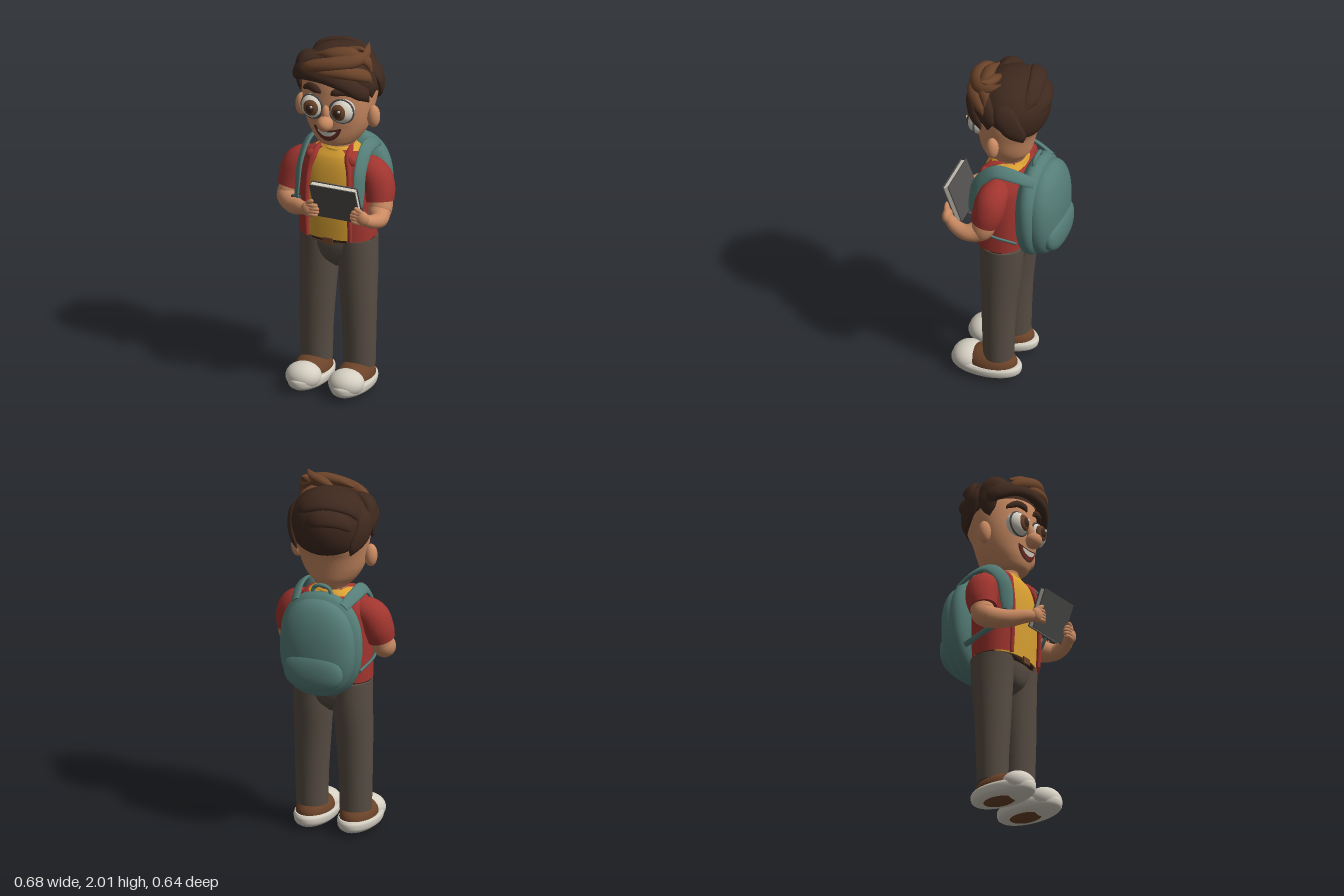
import * as THREE from 'three';
import { ParametricGeometry } from 'three/addons/geometries/ParametricGeometry.js';

const V3 = THREE.Vector3;

function material(name, color, double) {
  const m = new THREE.MeshStandardMaterial({ color });
  m.name = name;
  if (double) m.side = THREE.DoubleSide;
  return m;
}

// Smooth body through cross-sections [x, y, z, radius outward, radius sideways];
// "outward" points away from the given centre.
const FRONT = new V3(0, 1, -60);
function sweep(sections, { centre = FRONT, seg = 28, steps = 32, pow = 1, a0 = 0, a1 = Math.PI * 2, caps = true } = {}) {
  const path = new THREE.CatmullRomCurve3(sections.map(s => new V3(s[0], s[1], s[2])), false, 'catmullrom', 0.5);
  const size = new THREE.CatmullRomCurve3(sections.map(s => new V3(s[3], s[4] ?? s[3], 0)), false, 'catmullrom', 0.5);
  const wrap = a1 - a0 > 6.28, cols = wrap ? seg : seg + 1;
  const pos = [], index = [];
  const curve = v => Math.sign(v) * Math.abs(v) ** pow;
  for (let i = 0; i <= steps; i++) {
    const p = path.getPoint(i / steps), r = size.getPoint(i / steps), t = path.getTangent(i / steps);
    const u = p.clone().sub(centre);
    u.addScaledVector(t, -u.dot(t)).normalize();
    const v = t.clone().cross(u);
    for (let j = 0; j < cols; j++) {
      const a = a0 + (a1 - a0) * j / seg;
      const q = p.clone().addScaledVector(u, Math.max(r.x, 0.0005) * curve(Math.cos(a)))
        .addScaledVector(v, Math.max(r.y, 0.0005) * curve(Math.sin(a)));
      pos.push(q.x, q.y, q.z);
    }
  }
  for (let i = 0; i < steps; i++) for (let j = 0; j < seg; j++) {
    const k = (j + 1) % cols, a = i * cols + j, b = i * cols + k;
    index.push(a, b, a + cols, b, b + cols, a + cols);
  }
  if (caps && wrap) for (const end of [0, steps]) {
    const base = pos.length / 3, p = path.getPoint(end / steps);
    for (let j = 0; j < cols * 3; j++) pos.push(pos[end * cols * 3 + j]);
    pos.push(p.x, p.y, p.z);
    for (let j = 0; j < cols; j++) {
      const k = (j + 1) % cols;
      index.push(base + cols, base + (end ? j : k), base + (end ? k : j));
    }
  }
  const g = new THREE.BufferGeometry();
  g.setAttribute('position', new THREE.Float32BufferAttribute(pos, 3));
  g.setIndex(index);
  g.computeVertexNormals();
  return g;
}

// Head sections, bottom to top
const HEAD = [[0, 1.372, .04, .05, .045], [0, 1.40, .03, .10, .088], [0, 1.45, .03, .135, .135], [0, 1.52, .027, .15, .175],
  [0, 1.62, .02, .17, .2], [0, 1.72, 0, .185, .214], [0, 1.82, -.01, .175, .205], [0, 1.9, -.01, .12, .14], [0, 1.93, -.01, .03, .03]];
function faceZ(x, y) {
  const i = Math.max(0, HEAD.findIndex(s => s[1] > y) - 1), f = (y - HEAD[i][1]) / (HEAD[i + 1][1] - HEAD[i][1]);
  const [cz, rz, rx] = [2, 3, 4].map(k => HEAD[i][k] + f * (HEAD[i + 1][k] - HEAD[i][k]));
  return cz + rz * Math.sqrt(Math.max(0, 1 - (x / rx) ** 2));
}

export function createModel() {
  const model = new THREE.Group();
  const skin = material('skin', 0xc98a62), red = material('red jacket', 0xa1352f, true), yellow = material('yellow shirt', 0xd9a032);
  const teal = material('teal canvas', 0x557d77), cloth = material('trouser cloth', 0x574d43), brown = material('warm brown', 0x6b4329);
  const dark = material('dark hair', 0x3f291e, true), cream = material('cream', 0xd6d0c3), grey = material('book grey', 0x504f4d);
  const maroon = material('mouth maroon', 0x6e2a26);

  const add = (name, geo, mat) => {
    const m = new THREE.Mesh(geo, mat);
    m.name = name;
    model.add(m);
    return m;
  };
  const ball = (name, mat, p, s) => {
    const m = add(name, new THREE.SphereGeometry(1, 32, 20), mat);
    m.position.set(...p);
    m.scale.set(...s);
    return m;
  };
  const mirror = (s, pts) => pts.map(p => [p[0] * s, ...p.slice(1)]);

  // Trousers and belt
  add('hips', sweep([[0, .67, .02, .03, .03], [0, .73, .02, .1, .1], [0, .8, .02, .122, .18], [0, .87, .02, .126, .212]]), cloth);
  add('belt', sweep([[0, .845, .025, .134, .214], [0, .878, .025, .136, .214]], { steps: 2 }), dark);
  const buckle = add('buckle', new THREE.BoxGeometry(.06, .036, .009), brown);
  buckle.position.set(0, .86, .164);

  // Torso with open jacket
  const torso = [[0, .87, .03, .133, .203], [0, 1, .03, .138, .203], [0, 1.15, .03, .138, .203], [0, 1.27, .025, .128, .195],
    [0, 1.34, .015, .11, .155], [0, 1.385, .012, .088, .09]];
  add('shirt', sweep(torso, { pow: .85, seg: 48 }), yellow);
  const shell = torso.map(([x, y, z, a, b], i) => [x, y - (i === 5 ? .015 : 0), z, a + .011, b + .012]);
  add('jacket', sweep(shell, { pow: .8, seg: 48, a0: .52, a1: Math.PI * 2 - .52 }), red);
  const collar = add('shirtCollar', new THREE.TorusGeometry(.085, .012, 10, 40), yellow);
  collar.rotation.x = Math.PI / 2;
  collar.position.set(0, 1.375, .015);
  add('neck', sweep([[0, 1.3, .01, .08], [0, 1.43, .015, .085]], { steps: 4 }), skin);

  for (const s of [1, -1]) {
    const side = s > 0 ? 'left' : 'right';
    add(side + 'Leg', sweep(mirror(s, [[.127, .115, .03, .085, .088], [.127, .3, .03, .09, .092], [.122, .5, .028, .1, .1],
      [.115, .7, .02, .115, .108], [.11, .86, .018, .125, .11]])), cloth);

    // Shoe
    add(side + 'Sole', sweep([[s * .127, 0, .1, .17, .085], [s * .127, .018, .1, .195, .105], [s * .127, .05, .1, .2, .111],
      [s * .127, .066, .1, .19, .104]], { steps: 12, seg: 40 }), cream);
    ball(side + 'ShoeUpper', brown, [s * .127, .065, .075], [.098, .085, .15]);
    ball(side + 'ToeCap', cream, [s * .127, .062, .2], [.1, .077, .092]);

    // Lapel, collar and jacket hem
    add(side + 'Lapel', sweep(mirror(s, [[.128, .872, .155, .012], [.128, 1, .162, .013], [.125, 1.15, .162, .014], [.117, 1.27, .145, .015],
      [.1, 1.335, .115, .022], [.085, 1.372, .06, .018], [.06, 1.378, -.04, .014]])), red);
    ball(side + 'CollarFlap', red, [s * .118, 1.325, .115], [.036, .034, .025]);

    // Sleeve and arm
    const centre = new V3(-50 * s, -49, 0);
    add(side + 'Sleeve', sweep(mirror(s, [[.1, 1.29, .02, .04], [.165, 1.272, .022, .072], [.225, 1.235, .032, .086], [.25, 1.17, .042, .087],
      [.262, 1.1, .06, .077]]), { centre }), red);
    const forearm = s > 0 ? [[.298, 1.032, .15, .046], [.285, 1.045, .22, .037], [.255, 1.07, .272, .028]]
      : [[.2, 1.037, .165, .05], [.125, 1.06, .235, .038], [.07, 1.075, .27, .03]];
    add(side + 'Arm', sweep(mirror(s, [[.255, 1.15, .045, .062], [.268, 1.085, .06, .065], [.272, 1.045, .085, .061], ...forearm]), { centre }), skin);

    // Hand gripping the book
    const hx = d => .095 + s * d;
    ball(side + 'Palm', skin, [hx(.16), 1.08, .278], [.04, .042, .028]);
    for (let i = 0; i < 4; i++) {
      const y = 1.055 + i * .018, tip = .088 + Math.abs(i - 1.5) * .008;
      add(side + 'Finger', sweep([[hx(.165), y, .285, .004], [hx(.155), y, .288, .013], [hx(.12), y + .003, .292, .012],
        [hx(tip + .008), y, .283, .011], [hx(tip), y, .28, .002]], { centre: new V3(0, 1, -60), seg: 10, steps: 14 }), skin);
    }
    add(side + 'Thumb', sweep([[hx(.175), 1.085, .27, .012], [hx(.155), 1.118, .285, .014], [hx(.13), 1.138, .292, .011], [hx(.122), 1.142, .292, .002]],
      { seg: 10, steps: 14 }), skin);

    // Backpack strap
    add(side + 'Strap', sweep(mirror(s, [[.14, 1.34, -.18, .012, .03], [.165, 1.38, -.07, .012, .036], [.172, 1.382, .04, .013, .038],
      [.178, 1.29, .13, .013, .038], [.182, 1.17, .158, .012, .036], [.188, 1.06, .155, .01, .022], [.222, .99, .06, .008, .016],
      [.2, .95, -.1, .008, .016]]), { centre: new V3(0, 1.2, .02), seg: 16, steps: 48 }), teal);
    const clip = add(side + 'StrapBuckle', new THREE.BoxGeometry(.05, .03, .02), grey);
    clip.position.set(s * .187, 1.08, .165);

    // Ear, eye and eyebrow
    ball(side + 'Ear', skin, [s * .213, 1.58, .035], [.036, .064, .036]);
    ball(side + 'Eye', cream, [s * .088, 1.64, .158], [.066, .07, .062]);
    const rim = add(side + 'EyeRim', new THREE.TorusGeometry(.067, .006, 8, 40), grey);
    rim.position.set(s * .088, 1.64, .176);
    rim.rotation.y = s * .15;
    ball(side + 'Iris', brown, [s * .083, 1.642, .204], [.043, .046, .021]);
    ball(side + 'Pupil', dark, [s * .082, 1.642, .217], [.025, .028, .012]);
    ball(side + 'EyeGlint', cream, [s * .082 + .012, 1.656, .228], [.008, .008, .004]);
    add(side + 'Eyebrow', sweep(mirror(s, [[.03, 1.732, .188, .004, .006], [.055, 1.748, .19, .014, .02], [.1, 1.755, .175, .014, .021],
      [.14, 1.735, .15, .01, .014], [.155, 1.72, .138, .003, .004]]), { centre: new V3(0, 1.68, 0), seg: 14 }), dark);
  }

  // Head and nose
  add('head', sweep(HEAD, { seg: 48, steps: 48 }), skin);
  ball('nose', skin, [.004, 1.565, .21], [.045, .044, .047]);
  ball('noseBridge', skin, [0, 1.615, .188], [.024, .05, .026]);

  // Mouth pieces laid on the face
  const decal = (name, mat, cy, rx, up, down, bend, lift) => {
    const g = new THREE.RingGeometry(0.001, 1, 40, 10), p = g.attributes.position;
    for (let i = 0; i < p.count; i++) {
      const u = p.getX(i), v = p.getY(i), x = u * rx, y = cy + v * (v > 0 ? up : down) + bend * u * u;
      p.setXYZ(i, x, y, faceZ(x, y) + lift);
    }
    g.computeVertexNormals();
    add(name, g, mat);
  };
  decal('lips', dark, 1.5, .08, .016, .05, .03, .006);
  decal('mouth', maroon, 1.497, .07, .012, .04, .028, .009);
  decal('teeth', cream, 1.493, .055, .014, .014, .018, .012);

  // Hair cap, lower at the nape than at the forehead
  add('hairCap', new ParametricGeometry((u, v, out) => {
    const phi = -u * Math.PI * 2, back = (1 - Math.sin(phi)) / 2, th = v * (1.42 + 1.08 * back ** 1.3);
    const r = Math.sin(th) ** (th > Math.PI / 2 ? .6 : .9);
    out.set(.224 * r * Math.cos(phi), 1.765 + .188 * Math.cos(th), -.012 + .198 * r * Math.sin(phi));
  }, 56, 28), dark);

  // Locks: path points with thickness and half width
  const lock = (name, mat, pts) => add(name, sweep(pts, { centre: new V3(0, 1.72, 0), seg: 20, steps: 36 }), mat);
  lock('fringeBand', dark, [[-.215, 1.72, .05, .01, .01], [-.205, 1.8, .1, .03, .05], [-.12, 1.835, .175, .03, .045], [0, 1.835, .2, .03, .04],
    [.11, 1.81, .19, .03, .045], [.19, 1.75, .14, .026, .045], [.215, 1.69, .1, .005, .005]]);
  lock('rightTempleLock', dark, [[-.06, 1.9, .1, .01, .02], [-.17, 1.87, .08, .04, .06], [-.21, 1.79, .06, .026, .06],
    [-.212, 1.72, .06, .018, .04], [-.208, 1.675, .065, .003, .004]]);
  lock('leftTempleLock', dark, [[.08, 1.88, .14, .01, .02], [.17, 1.84, .11, .03, .06], [.21, 1.77, .07, .022, .055], [.215, 1.7, .06, .004, .005]]);
  for (const s of [1, -1]) lock(s > 0 ? 'leftSideLock' : 'rightSideLock', dark, mirror(s, [[.15, 1.88, .02, .01, .02], [.205, 1.82, -.03, .022, .06],
    [.208, 1.74, -.07, .022, .06], [.18, 1.67, -.11, .016, .04], [.155, 1.62, -.12, .004, .005]]));
  lock('crownLock', dark, [[-.205, 1.8, -.06, .01, .02], [-.15, 1.89, -.1, .022, .05], [-.02, 1.915, -.135, .022, .05], [.09, 1.88, -.145, .02, .04],
    [.165, 1.83, -.12, .004, .005]]);
  lock('backLock', dark, [[-.19, 1.75, -.1, .01, .02], [-.11, 1.83, -.165, .022, .045], [.02, 1.83, -.19, .022, .045], [.13, 1.75, -.165, .004, .006]]);
  lock('mainSwoop', brown, [[-.175, 1.815, .14, .004, .006], [-.1, 1.872, .185, .03, .034], [.03, 1.91, .19, .036, .04], [.14, 1.93, .14, .036, .04],
    [.18, 1.955, .07, .022, .028], [.172, 1.99, .0, .003, .004]]);
  lock('upperSwoop', brown, [[-.085, 1.925, .11, .005, .008], [.01, 1.945, .125, .028, .036], [.11, 1.955, .11, .03, .04], [.19, 1.925, .09, .026, .034],
    [.222, 1.86, .08, .004, .006]]);
  lock('crestSwoop', brown, [[.01, 1.93, .06, .005, .008], [.08, 1.95, .07, .025, .03], [.15, 1.972, .08, .022, .025], [.185, 1.992, .11, .003, .004]]);
  lock('lowerSwoop', brown, [[-.1, 1.85, .19, .004, .006], [.0, 1.865, .205, .024, .028], [.12, 1.87, .185, .028, .034], [.2, 1.845, .12, .022, .034],
    [.225, 1.79, .08, .003, .004]]);

  // Backpack: rounded sphere with squared-off cross-section
  const pouch = (name, p, s) => {
    const g = new THREE.SphereGeometry(1, 48, 32), a = g.attributes.position;
    const box = v => Math.sign(v) * Math.abs(v) ** .85;
    for (let i = 0; i < a.count; i++) a.setXYZ(i, box(a.getX(i)), box(a.getY(i)), box(a.getZ(i)));
    const m = add(name, g, teal);
    m.position.set(...p);
    m.scale.set(...s);
  };
  pouch('backpackFrontShell', [0, 1.105, -.15], [.235, .295, .09]);
  pouch('backpackBody', [0, 1.1, -.2], [.214, .275, .108]);
  pouch('backpackPocket', [0, .985, -.265], [.17, .115, .058]);
  add('backpackHandle', sweep([[-.055, 1.36, -.14, .012], [-.045, 1.42, -.145, .011], [0, 1.44, -.15, .011], [.045, 1.42, -.145, .011],
    [.055, 1.36, -.14, .012]], { seg: 12 }), teal);

  // Book
  const book = new THREE.Group();
  book.name = 'book';
  for (const [name, w, h, d, z, mat] of [['frontCover', .272, .226, .006, .016, grey], ['pages', .262, .216, .027, 0, cream], ['backCover', .272, .226, .006, -.016, grey]]) {
    const m = new THREE.Mesh(new THREE.BoxGeometry(w, h, d), mat);
    m.name = name;
    m.position.z = z;
    book.add(m);
  }
  book.position.set(.095, 1.142, .26);
  book.rotation.x = .36;
  model.add(book);

  return model;
}
